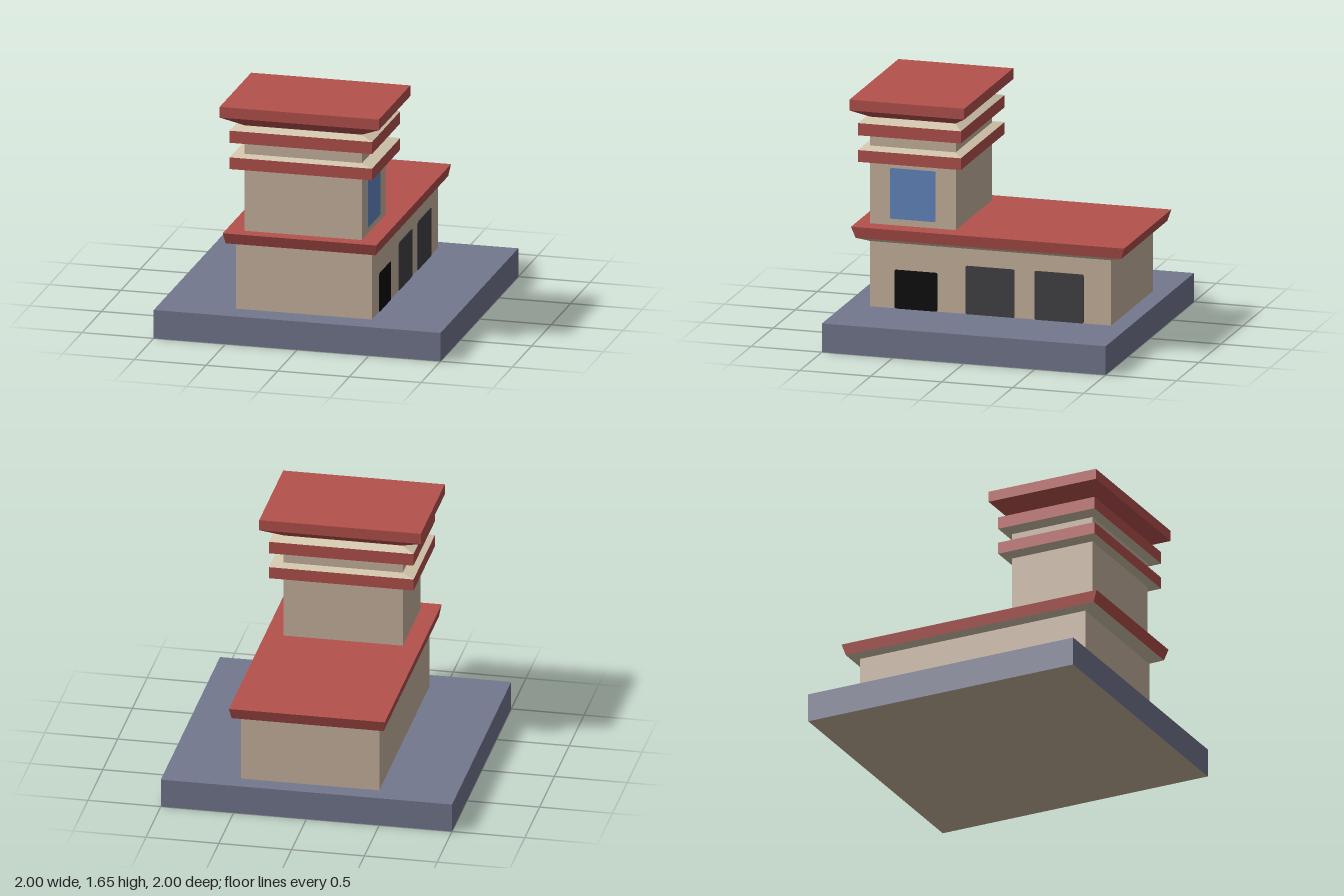
import * as THREE from 'three';

const mat = (name, color) => {
  const m = new THREE.MeshStandardMaterial({ color });
  m.name = name;
  return m;
};

// Stack of rectangular rings [halfWidth, zBack, zFront, y], bottom to top.
// slots: one material per band, then bottom cap and top cap (null = open).
function loft(name, rings, slots) {
  const materials = [...new Set(slots.filter(Boolean))];
  const corners = rings.map(([w, z0, z1, y]) => [[-w, y, z1], [w, y, z1], [w, y, z0], [-w, y, z0]]);
  const geo = new THREE.BufferGeometry();
  const pos = [];
  const quad = (a, b, c, d, material) => {
    geo.addGroup(pos.length / 3, 6, materials.indexOf(material));
    pos.push(...a, ...b, ...c, ...a, ...c, ...d);
  };
  const n = rings.length - 1;
  for (let r = 0; r < n; r++) {
    for (let i = 0; i < 4; i++) {
      const j = (i + 1) % 4;
      quad(corners[r][i], corners[r][j], corners[r + 1][j], corners[r + 1][i], slots[r]);
    }
  }
  if (slots[n]) quad(...[...corners[0]].reverse(), slots[n]);
  if (slots[n + 1]) quad(...corners[n], slots[n + 1]);
  geo.setAttribute('position', new THREE.Float32BufferAttribute(pos, 3));
  geo.computeVertexNormals();
  const mesh = new THREE.Mesh(geo, materials);
  mesh.name = name;
  return mesh;
}

// Thin plate with softened corners on the +x side of a wall
function panel(name, material, wallX, z0, z1, y0, y1) {
  const r = 0.012;
  const s = new THREE.Shape();
  s.moveTo(-z1 + r, y0);
  s.lineTo(-z0 - r, y0);
  s.quadraticCurveTo(-z0, y0, -z0, y0 + r);
  s.lineTo(-z0, y1 - r);
  s.quadraticCurveTo(-z0, y1, -z0 - r, y1);
  s.lineTo(-z1 + r, y1);
  s.quadraticCurveTo(-z1, y1, -z1, y1 - r);
  s.lineTo(-z1, y0 + r);
  s.quadraticCurveTo(-z1, y0, -z1 + r, y0);
  const geo = new THREE.ExtrudeGeometry(s, { depth: 0.005, bevelEnabled: false, curveSegments: 3 });
  const mesh = new THREE.Mesh(geo, material);
  mesh.rotation.y = Math.PI / 2;
  mesh.position.x = wallX;
  mesh.name = name;
  return mesh;
}

export function createModel() {
  const tan = mat('wallTan', 0xc9b5a0);
  const cream = mat('trimCream', 0xd4c6ad);
  const red = mat('roofRed', 0xb5514d);
  const slate = mat('baseSlate', 0x74788f);
  const blue = mat('windowBlue', 0x6488c2);
  const grey = mat('doorGrey', 0x424246);
  const black = mat('doorBlack', 0x0c0c0c);

  const model = new THREE.Group();
  model.name = 'stationBuilding';

  // Base slab
  model.add(loft('baseSlab', [[1, -1, 1, 0], [1, -1, 1, 0.2]], [slate, tan, slate]));

  // Lower hall and its flared roof
  model.add(loft('hallWalls', [[0.475, -0.875, 0.825, 0.2], [0.475, -0.875, 0.825, 0.66]], [tan, null, null]));
  model.add(loft('hallRoof', [
    [0.475, -0.875, 0.825, 0.655],
    [0.522, -0.96, 0.912, 0.682],
    [0.535, -0.985, 0.94, 0.76],
  ], [cream, red, null, red]));

  // Tower, with rings measured outward from its walls
  const ring = (out, y) => [0.41 + out, 0.24 - out * 0.72, 0.845 + out * 0.69, y];
  model.add(loft('towerWalls', [ring(0, 0.76), ring(0, 1.51)], [tan, null, null]));

  // Two projecting ledges
  for (const [name, y0, y1, y2, y3] of [
    ['lowerLedge', 1.192, 1.205, 1.287, 1.302],
    ['upperLedge', 1.373, 1.39, 1.475, 1.502],
  ]) {
    model.add(loft(name, [ring(0, y0), ring(0.086, y1), ring(0.086, y2), ring(0, y3)],
      [cream, red, cream, null, null]));
  }

  // Tower roof with sloped underside
  model.add(loft('towerRoof', [ring(0, 1.503), ring(0.145, 1.575), ring(0.145, 1.65)],
    [red, red, null, red]));

  // Doors and window on the left side
  model.add(panel('entranceDoor', black, 0.475, 0.35, 0.65, 0.2, 0.47));
  model.add(panel('frontGarageDoor', grey, 0.475, -0.195, 0.15, 0.2, 0.537));
  model.add(panel('rearGarageDoor', grey, 0.475, -0.682, -0.336, 0.2, 0.54));
  model.add(panel('towerWindow', blue, 0.41, 0.383, 0.702, 0.805, 1.158));

  return model;
}
